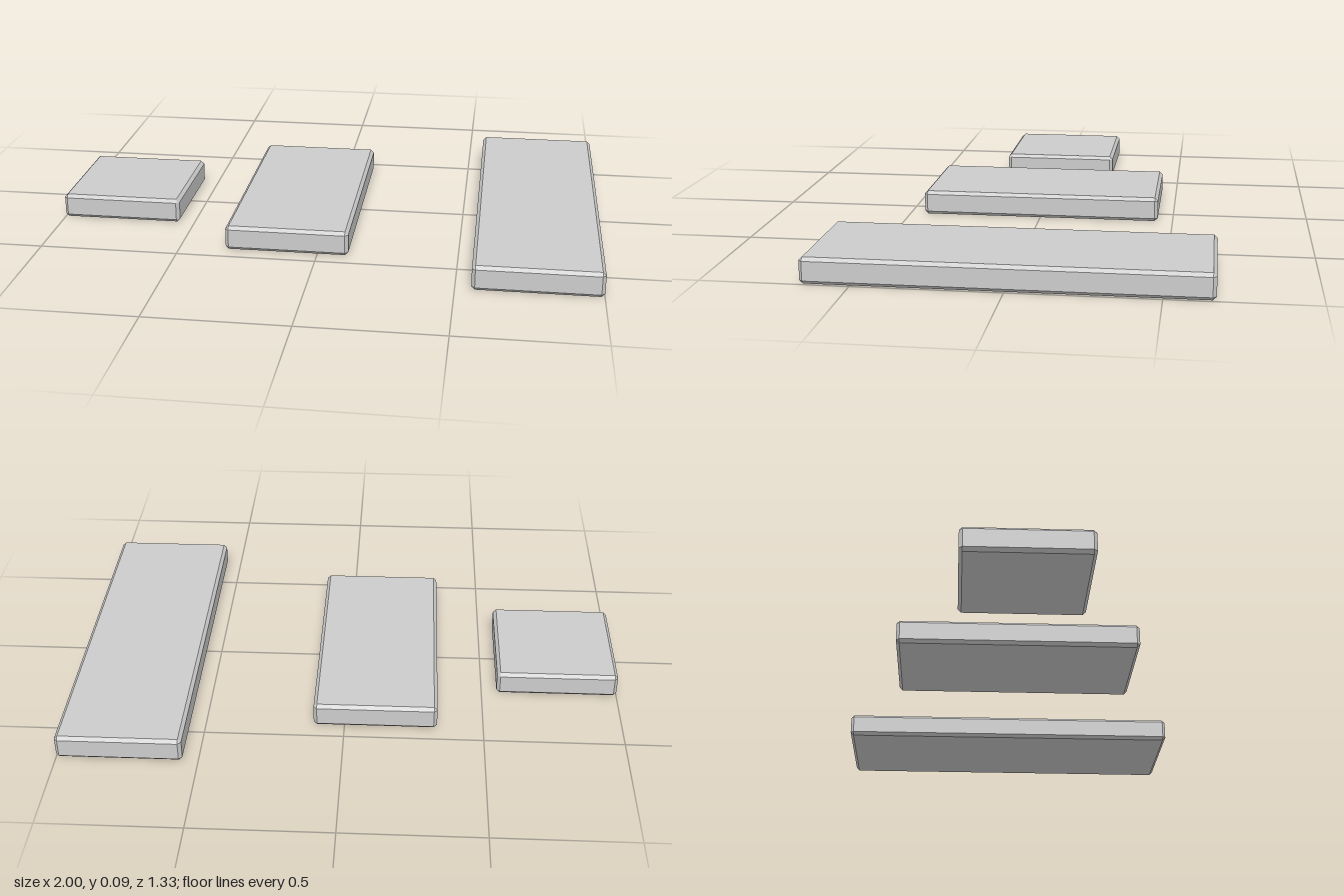
import * as THREE from 'three';
import { ConvexGeometry } from 'three/addons/geometries/ConvexGeometry.js';

const U = 2 / 9; // layout unit: the row of slabs is nine units wide
const HEIGHT = 0.09;
const BEVEL = 0.012;

// Box with every edge chamfered: each corner becomes three points, one per face.
function chamferedBox(width, height, depth, bevel) {
  const half = new THREE.Vector3(width / 2, height / 2, depth / 2);
  const points = [];
  for (const sx of [-1, 1]) for (const sy of [-1, 1]) for (const sz of [-1, 1]) {
    for (const face of ['x', 'y', 'z']) {
      const p = half.clone().subScalar(bevel);
      p[face] = half[face];
      points.push(p.multiply(new THREE.Vector3(sx, sy, sz)));
    }
  }
  return new ConvexGeometry(points);
}

export function createModel() {
  const model = new THREE.Group();
  model.name = 'slabs';
  const material = new THREE.MeshStandardMaterial({ color: 0xcccccc, flatShading: true });

  // Three slabs of equal width and growing length
  const slabs = [
    { name: 'shortSlab', x: -3.5, length: 2 },
    { name: 'mediumSlab', x: -0.5, length: 4 },
    { name: 'longSlab', x: 3.5, length: 6 },
  ];
  for (const { name, x, length } of slabs) {
    const slab = new THREE.Mesh(chamferedBox(2 * U, HEIGHT, length * U, BEVEL), material);
    slab.name = name;
    slab.position.set(x * U, HEIGHT / 2, 0);
    model.add(slab);
  }
  return model;
}
